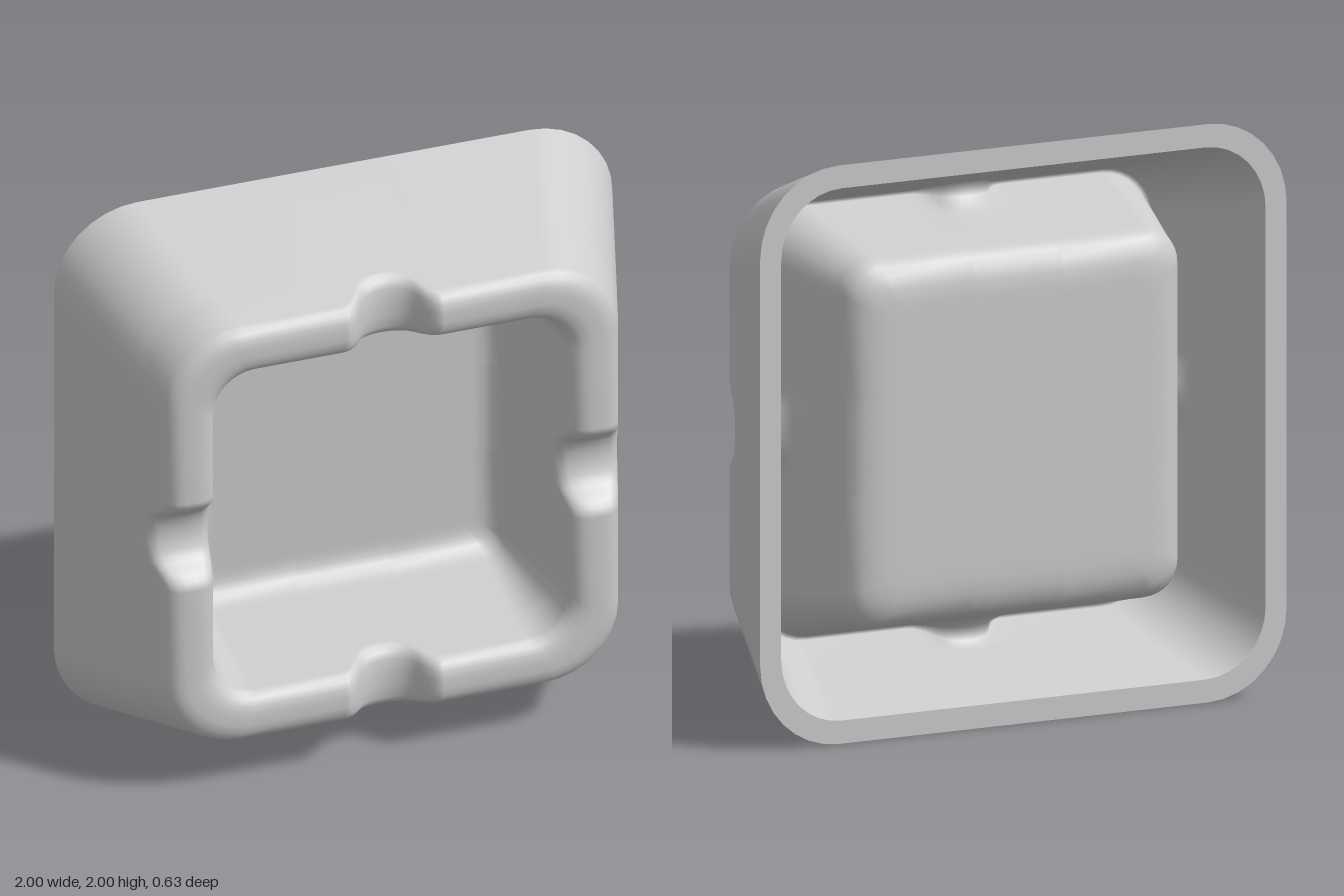
import * as THREE from 'three';

// Half of the rest notch: [distance from the middle of a side, depth]
const NOTCH = [[0, 0.112], [0.03, 0.11], [0.06, 0.1], [0.08, 0.088], [0.095, 0.073], [0.107, 0.056],
  [0.118, 0.04], [0.13, 0.026], [0.145, 0.012], [0.16, 0.003], [0.175, 0]];
const HALF = [...NOTCH.slice(1).reverse().map(([u, d]) => [-u, d]), ...NOTCH];
const ARC = 8; // segments in each rounded corner

// One rounded-square ring. shift: how far a notched rim point moves outward
// per unit of notch depth; rings without it are untouched by the notches
function ring([h, r, z, shift]) {
  const pts = [];
  const squeeze = Math.min(1, (h - r) / 0.18);
  for (let k = 0; k < 4; k++) {
    const c = [1, 0, -1, 0][k], s = [0, 1, 0, -1][k];
    const add = (x, y, depth) => pts.push([x * c - y * s, x * s + y * c + 1, z - depth]);
    for (const [u, depth] of HALF) {
      const d = shift === undefined ? 0 : depth;
      add(h + (shift ?? 0) * d, u * squeeze, d);
    }
    for (let i = 0; i <= ARC; i++) {
      const a = (i / ARC) * Math.PI / 2;
      add(h - r + r * Math.cos(a), h - r + r * Math.sin(a), 0);
    }
  }
  return pts;
}

// Skin a list of rings [halfSize, cornerRadius, z, shift]
function loft(name, profile, material) {
  const rings = profile.map(ring);
  const n = rings[0].length;
  const index = [];
  for (let i = 0; i < rings.length - 1; i++) {
    for (let j = 0; j < n; j++) {
      const a = i * n + j, b = i * n + (j + 1) % n;
      index.push(a, b, b + n, a, b + n, a + n);
    }
  }
  const g = new THREE.BufferGeometry();
  g.setAttribute('position', new THREE.Float32BufferAttribute(rings.flat(2), 3));
  g.setIndex(index);
  g.computeVertexNormals();
  const mesh = new THREE.Mesh(g, material);
  mesh.name = name;
  return mesh;
}

export function createModel() {
  const group = new THREE.Group();
  group.name = 'squareTray';
  const mat = new THREE.MeshStandardMaterial({ color: 0xcccccc });
  const OUT = 0.317, IN = -0.17; // taper of the outer and inner walls

  // Outer wall, rounded notched rim, inner wall and floor
  group.add(loft('trayFront', [
    [1, 0.3, -0.315], [0.86, 0.28, 0.127], [0.849, 0.278, 0.16],
    [0.815, 0.27, 0.266, OUT], [0.808, 0.265, 0.283, OUT], [0.794, 0.256, 0.299, OUT],
    [0.772, 0.242, 0.311, OUT], [0.745, 0.22, 0.315, 0.1],
    [0.705, 0.19, 0.315, 0], [0.676, 0.172, 0.31, IN], [0.654, 0.158, 0.297, IN],
    [0.64, 0.15, 0.28, IN], [0.634, 0.146, 0.262, IN],
    [0.616, 0.13, 0.155], [0.61, 0.125, 0.12], [0.566, 0.075, -0.13],
    [0.56, 0.068, -0.158], [0.549, 0.06, -0.185], [0.531, 0.05, -0.206],
    [0.507, 0.04, -0.22], [0.478, 0.03, -0.225], [0.45, 0.02, -0.225], [0, 0, -0.225],
  ], mat));

  // Underside of the bowl, valley under the rim, and inside of the skirt
  group.add(loft('bowlUnderside', [
    [0, 0, -0.288], [0.45, 0.04, -0.288], [0.495, 0.05, -0.288], [0.541, 0.07, -0.284],
    [0.582, 0.09, -0.272], [0.613, 0.11, -0.252], [0.633, 0.12, -0.222], [0.643, 0.13, -0.19],
    [0.652, 0.135, -0.15], [0.7, 0.16, 0.03], [0.744, 0.19, 0.2, 0],
    [0.757, 0.19, 0.2, OUT], [0.81, 0.205, 0.03], [0.92, 0.23, -0.315],
  ], mat));

  // Flat edge at the back of the skirt
  group.add(loft('backEdge', [[0.92, 0.23, -0.315], [1, 0.3, -0.315]], mat));
  return group;
}
